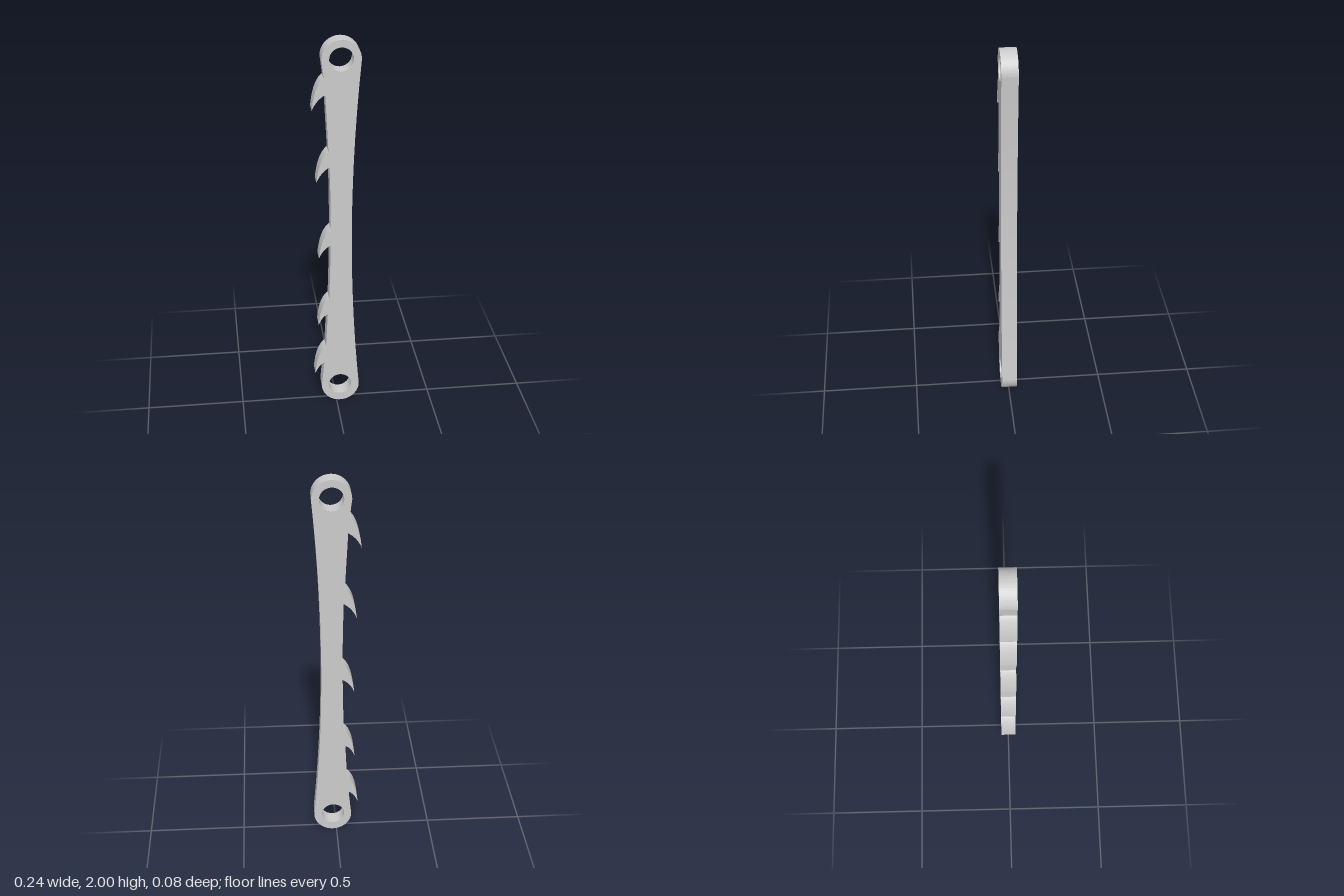
import * as THREE from 'three';

const DEPTH = 0.08;

// Each barb on the left edge: [upper root, tip, lower root] as x, y pairs, bottom to top
const BARBS = [
  [-0.056, 0.335, -0.113, 0.177, -0.065, 0.24],
  [-0.038, 0.625, -0.094, 0.472, -0.046, 0.532],
  [-0.03, 1.02, -0.09, 0.86, -0.031, 0.932],
  [-0.04, 1.44, -0.1, 1.28, -0.035, 1.36],
  [-0.062, 1.815, -0.12, 1.655, -0.055, 1.732],
];

function addHole(shape, x, y, r) {
  const hole = new THREE.Path();
  hole.absarc(x, y, r, 0, Math.PI * 2, true);
  shape.holes.push(hole);
}

export function createModel() {
  const group = new THREE.Group();
  group.name = 'barbedLink';

  // Outline, counter-clockwise from the right side of the lower eye
  const s = new THREE.Shape();
  s.moveTo(0.119, 0.1);
  s.quadraticCurveTo(0.034, 1.0, 0.119, 1.904);

  // Upper eye
  s.absarc(0.023, 1.904, 0.096, 0, Math.PI, false);

  // Waisted left edge with hooked barbs, top to bottom
  for (const [ux, uy, tx, ty, lx, ly] of [...BARBS].reverse()) {
    s.lineTo(ux, uy);
    s.quadraticCurveTo(ux - 0.046, uy - 0.035, tx, ty);
    s.quadraticCurveTo(tx + 0.02, ty + 0.052, lx, ly);
    if (ty > 1.2 && ty < 1.4) s.lineTo(-0.031, 1.2);
    if (ty > 0.8 && ty < 0.9) s.lineTo(-0.033, 0.8);
  }

  // Lower eye
  s.lineTo(-0.079, 0.1);
  s.absarc(0.02, 0.1, 0.099, Math.PI, Math.PI * 2, false);

  // Pin holes
  addHole(s, 0.023, 1.904, 0.059);
  addHole(s, 0.018, 0.102, 0.059);

  const geometry = new THREE.ExtrudeGeometry(s, {
    depth: DEPTH, bevelEnabled: false, curveSegments: 14,
  });
  geometry.translate(0, -0.001, -DEPTH / 2);

  const bar = new THREE.Mesh(geometry, new THREE.MeshStandardMaterial({ color: 0xcccccc }));
  bar.name = 'barbedBar';
  group.add(bar);
  return group;
}
